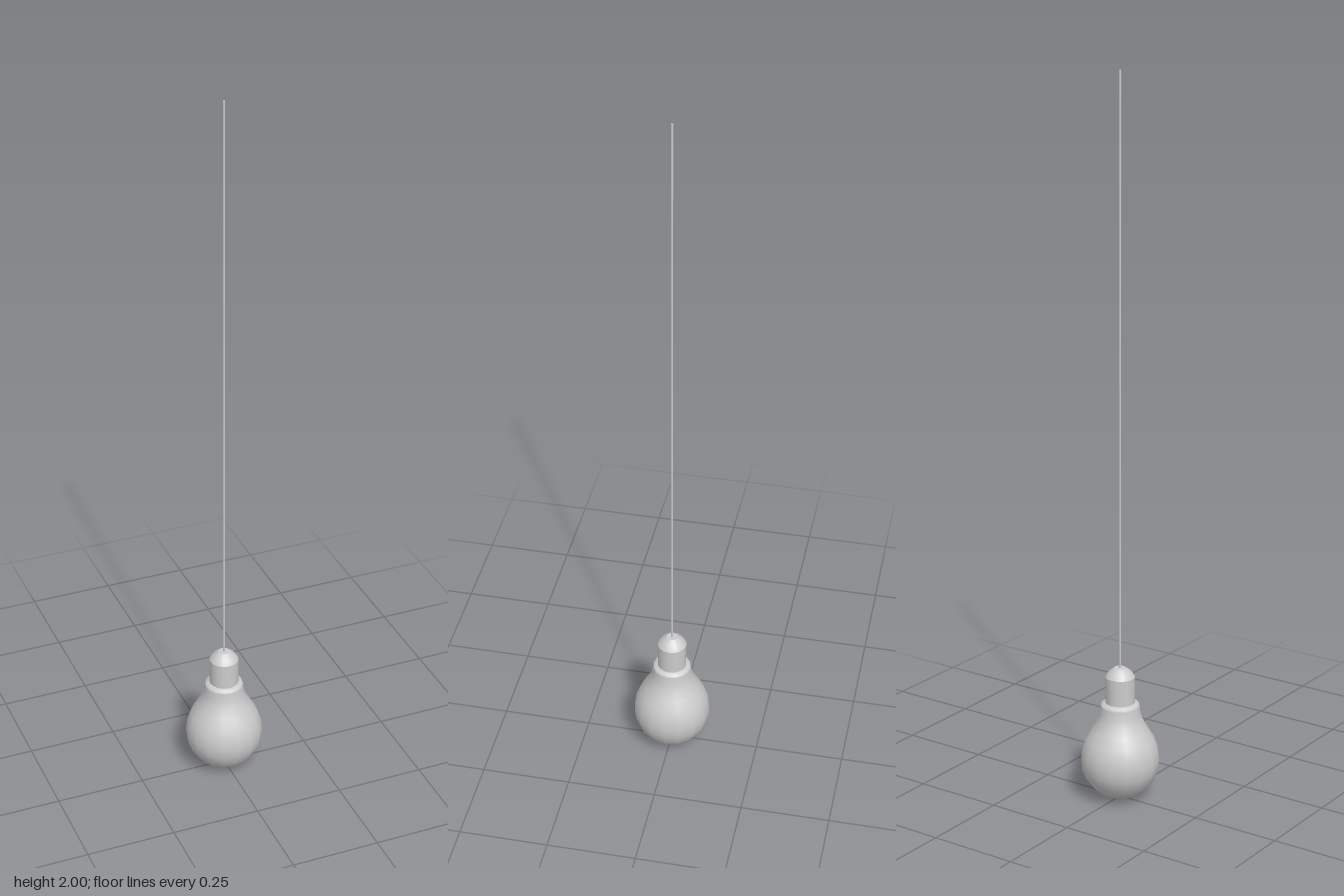
import * as THREE from 'three';

const material = new THREE.MeshStandardMaterial({ color: 0xcccccc });
const SIDES = 16;

// Turned part from [radius, height] pairs, listed bottom to top
function turned(name, profile) {
  const points = profile.map(([r, y]) => new THREE.Vector2(r, y));
  const mesh = new THREE.Mesh(new THREE.LatheGeometry(points, SIDES), material);
  mesh.name = name;
  return mesh;
}

export function createModel() {
  const model = new THREE.Group();
  model.name = 'hangingBulb';

  // Pear-shaped glass, smooth from tip to neck
  model.add(turned('glassBulb', [
    [0, 0], [0.028, 0.004], [0.054, 0.016], [0.077, 0.034], [0.095, 0.058],
    [0.106, 0.086], [0.109, 0.115], [0.105, 0.145], [0.094, 0.174],
    [0.078, 0.2], [0.064, 0.225], [0.057, 0.247], [0.054, 0.27],
  ]));

  // Collar ledge closing the glass against the socket
  model.add(turned('collar', [[0.054, 0.27], [0.052, 0.276], [0.041, 0.28]]));

  // Straight socket sleeve
  model.add(turned('socket', [[0.041, 0.272], [0.041, 0.354]]));

  // Tapered cap with a flat disc on top
  model.add(turned('socketCap', [[0.041, 0.354], [0.031, 0.369], [0.016, 0.38]]));
  model.add(turned('capTop', [[0.016, 0.38], [0, 0.38]]));

  // Thin cord up to the ceiling
  const cord = new THREE.Mesh(new THREE.CylinderGeometry(0.003, 0.003, 1.62, 8), material);
  cord.name = 'cord';
  cord.position.y = 1.19;
  model.add(cord);

  return model;
}
